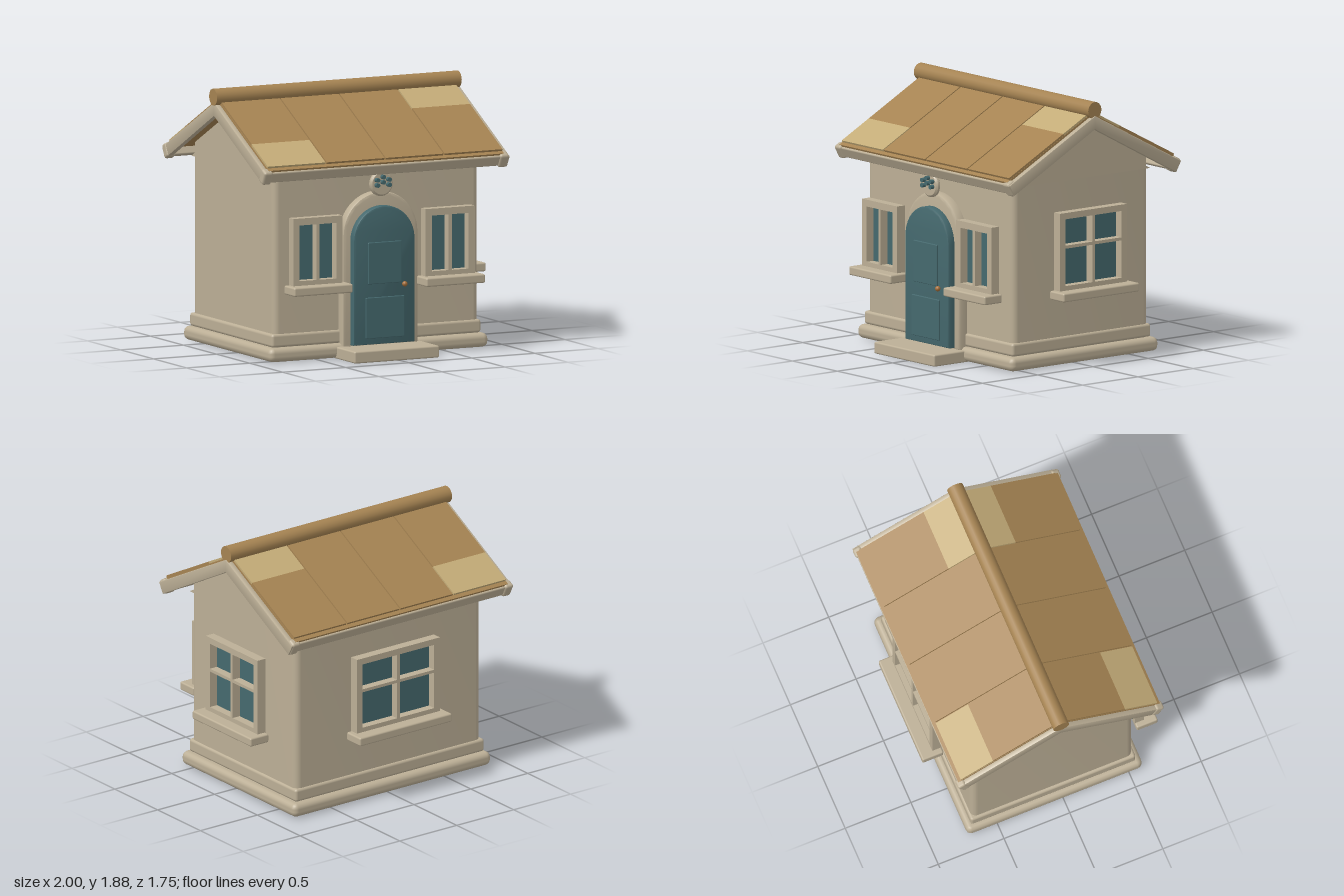
import * as THREE from 'three';
import { toCreasedNormals } from 'three/addons/utils/BufferGeometryUtils.js';
import { RoundedBoxGeometry } from 'three/addons/geometries/RoundedBoxGeometry.js';

const CX = -0.022, CZ = -0.062; // middle of the house

export function createModel() {
  const root = new THREE.Group();
  root.name = 'cottage';
  const mat = (name, color) => {
    const m = new THREE.MeshStandardMaterial({ color });
    m.name = name;
    return m;
  };
  const stone = mat('beige stone', 0xbcaf96);
  const roofTan = mat('roof tan', 0xa58352);
  const roofLight = mat('pale roof patch', 0xc3ab77);
  const teal = mat('teal', 0x45696e);
  const brass = mat('brass', 0xa8703a);

  const add = (parent, name, geo, material, x = 0, y = 0, z = 0) => {
    const m = new THREE.Mesh(geo, material);
    m.name = name;
    m.position.set(x, y, z);
    parent.add(m);
    return m;
  };
  // Box given by its limits; r > 0 rounds the edges
  const box = (parent, name, material, [x0, x1], [y0, y1], [z0, z1], r = 0) => {
    const s = [x1 - x0, y1 - y0, z1 - z0];
    const geo = r ? new RoundedBoxGeometry(...s, 2, r) : new THREE.BoxGeometry(...s);
    return add(parent, name, geo, material, (x0 + x1) / 2, (y0 + y1) / 2, (z0 + z1) / 2);
  };
  const extrude = (shape, depth, bevel = 0, curveSegments = 8) => toCreasedNormals(
    new THREE.ExtrudeGeometry(shape, {
      depth: depth - bevel, curveSegments, bevelEnabled: bevel > 0,
      bevelThickness: bevel, bevelSize: bevel, bevelOffset: -bevel, bevelSegments: 2,
    }), 0.55);
  const polygon = (pts) => new THREE.Shape(pts.map(([x, y]) => new THREE.Vector2(x, y)));

  // Base and skirting
  box(root, 'basePlate', stone, [-0.89, 0.845], [0.005, 0.105], [-0.73, 0.605], 0.04);
  box(root, 'skirting', stone, [-0.855, 0.803], [0.105, 0.2], [-0.69, 0.565], 0.02);
  box(root, 'doorStep', stone, [-0.363, 0.31], [0, 0.085], [0.55, 0.875], 0.012);

  // Walls: rounded rectangle raised upright
  const hw = 0.812, hd = 0.612, r = 0.045;
  const plan = new THREE.Shape();
  plan.moveTo(-hw + r, -hd);
  plan.lineTo(hw - r, -hd);
  plan.absarc(hw - r, -hd + r, r, -Math.PI / 2, 0);
  plan.absarc(hw - r, hd - r, r, 0, Math.PI / 2);
  plan.absarc(-hw + r, hd - r, r, Math.PI / 2, Math.PI);
  plan.absarc(-hw + r, -hd + r, r, Math.PI, Math.PI * 1.5);
  const walls = add(root, 'walls', extrude(plan, 1.22), stone, CX, 0.1, CZ);
  walls.rotation.x = -Math.PI / 2;

  // Shapes drawn in the z-y plane, extruded along x
  const alongX = (name, pts, x0, x1, material, bevel = 0) => {
    const m = add(root, name, extrude(polygon(pts), x1 - x0, bevel), material, x0 + bevel, 0, CZ);
    m.rotation.y = Math.PI / 2;
    return m;
  };
  alongX('gableBody', [[-0.6, 1.3], [0.6, 1.3], [0.6, 1.41], [0, 1.725], [-0.6, 1.41]],
    CX - 0.8, CX + 0.8, stone);
  const gable = [[-0.622, 1.31], [0.622, 1.31], [0, 1.638]];
  alongX('gablePanel', gable, CX + 0.79, CX + 0.82, stone);
  alongX('gablePanel', gable, CX - 0.82, CX - 0.79, stone);

  // Barge boards at both roof ends
  const chevron = [[-0.78, 1.365], [-0.735, 1.288], [0, 1.68], [0.735, 1.288], [0.78, 1.365], [0, 1.776]];
  alongX('bargeBoard', chevron, -0.99, -0.953, stone, 0.006);
  alongX('bargeBoard', chevron, 0.908, 0.945, stone, 0.006);

  // Roof slopes, worked in a tilted frame whose z runs down the slope
  const tilt = Math.atan(0.525), cos = Math.cos(tilt);
  const seams = [-0.957, -0.49, -0.022, 0.445, 0.913];
  for (const s of [1, -1]) {
    const slope = new THREE.Group();
    slope.name = s > 0 ? 'frontRoofSlope' : 'backRoofSlope';
    slope.position.set(0, 1.776, CZ);
    slope.rotation.x = s * tilt;
    root.add(slope);
    const run = (a, b) => (s > 0 ? [a / cos, b / cos] : [-b / cos, -a / cos]);
    box(slope, 'roofDeck', roofTan, [-0.955, 0.91], [-0.03, 0.012], run(0, 0.762));
    for (let i = 0; i < 4; i++) {
      const span = [seams[i] + 0.005, seams[i + 1] - 0.005];
      const panel = (name, m, a, b) => box(slope, name, m, span, [0.01, 0.027], run(a, b));
      const cut = i === 0 ? 0.49 : i === 3 ? 0.243 : 0.735;
      panel('roofPanel', i === 3 ? roofLight : roofTan, 0.01, cut);
      if (i === 0) panel('roofPatch', roofLight, cut, 0.735);
      if (i === 3) panel('roofPanel', roofTan, cut, 0.735);
    }
    box(slope, 'eaveBoard', stone, [-0.96, 0.915], [-0.085, -0.002], run(0.735, 0.775), 0.01);
    for (const x of [-0.96, 0.91]) {
      box(slope, 'eaveEndBlock', stone, [x - 0.035, x + 0.035], [-0.095, 0.01], run(0.725, 0.785), 0.018);
    }
  }
  const ridge = add(root, 'ridgePole', new THREE.CylinderGeometry(0.06, 0.06, 1.94, 20), roofTan, -0.025, 1.815, CZ);
  ridge.rotation.z = Math.PI / 2;

  // Arched door surround and door
  const arch = (halfWidth, bottom, spring) => {
    const a = new THREE.Shape();
    a.moveTo(-halfWidth, bottom);
    a.lineTo(halfWidth, bottom);
    a.lineTo(halfWidth, spring);
    a.absarc(0, spring, halfWidth, 0, Math.PI);
    return a;
  };
  const door = new THREE.Group();
  door.name = 'doorway';
  door.position.x = CX;
  root.add(door);
  add(door, 'doorSurround', extrude(arch(0.298, 0.08, 0.87), 0.08, 0.02, 12), stone, 0, 0, 0.54);
  add(door, 'door', extrude(arch(0.243, 0.095, 0.83), 0.06, 0.012, 10), teal, 0, 0, 0.615);
  box(door, 'upperDoorPanel', teal, [-0.133, 0.13], [0.525, 0.82], [0.67, 0.688], 0.005);
  box(door, 'lowerDoorPanel', teal, [-0.153, 0.153], [0.14, 0.43], [0.67, 0.688], 0.005);
  add(door, 'doorKnob', new THREE.SphereGeometry(0.019, 14, 10), brass, 0.15, 0.513, 0.695);

  // Round plaque with six studs
  const disc = [[0, 0], [0.078, 0], [0.09, 0.012], [0.09, 0.028], [0.078, 0.04], [0, 0.04]];
  const plaque = add(door, 'plaque', toCreasedNormals(new THREE.LatheGeometry(
    disc.map(([x, y]) => new THREE.Vector2(x, y)), 24), 0.5), stone, -0.005, 1.228, 0.61);
  plaque.rotation.x = Math.PI / 2;
  for (const x of [-0.046, 0, 0.046]) {
    for (const y of [1.22, 1.257]) {
      const stud = add(door, 'plaqueStud', new THREE.CylinderGeometry(0.016, 0.016, 0.035, 12), teal,
        x - 0.005, y + (x ? 0 : 0.02), 0.662);
      stud.rotation.x = Math.PI / 2;
    }
  }

  // Window facing +z: pierced frame, glass at its back, sill in front
  const addWindow = (name, halfW, top, rows, halfSill, x, z, turn) => {
    const w = new THREE.Group();
    w.name = name;
    w.position.set(x, 0, z);
    w.rotation.y = turn;
    root.add(w);
    const rect = (x0, x1, y0, y1) => [[x0, y0], [x1, y0], [x1, y1], [x0, y1]];
    const frame = polygon(rect(-halfW, halfW, 0.54, top));
    for (const [y0, y1] of rows) {
      frame.holes.push(polygon(rect(-halfW + 0.05, -0.0125, y0, y1)));
      frame.holes.push(polygon(rect(0.0125, halfW - 0.05, y0, y1)));
    }
    add(w, 'windowFrame', extrude(frame, 0.07), stone);
    const y0 = rows[0][0], y1 = rows[rows.length - 1][1];
    box(w, 'windowGlass', teal, [-halfW + 0.03, halfW - 0.03], [y0 - 0.015, y1 + 0.015], [-0.009, 0.008]);
    box(w, 'windowSill', stone, [-halfSill, halfSill], [0.487, 0.55], [0, 0.16], 0.012);
  };
  const tall = [[0.583, 0.978]], cross = [[0.583, 0.85], [0.872, 1.06]];
  addWindow('frontRightWindow', 0.195, 1.027, tall, 0.233, -0.548, 0.602, 0);
  addWindow('frontLeftWindow', 0.195, 1.027, tall, 0.233, 0.5, 0.602, 0);
  addWindow('sideWindow', 0.303, 1.105, cross, 0.343, 0.84, -0.08, Math.PI / 2);
  addWindow('backWindow', 0.364, 1.105, cross, 0.404, CX, -0.72, Math.PI);

  return root;
}
